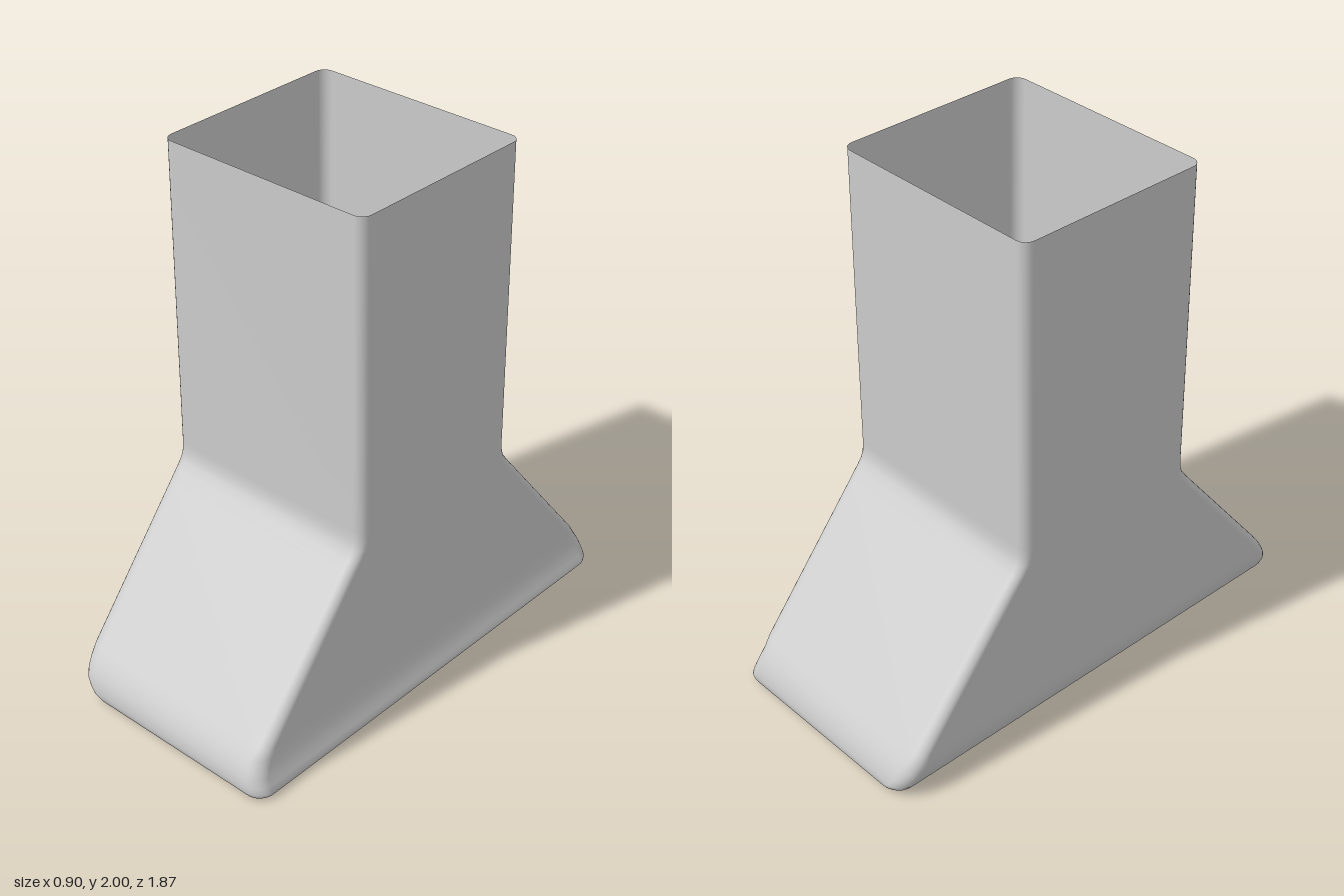
import * as THREE from 'three';

const CORNER_STEPS = 6;

// Rounded rectangle ring at height y, running from +x towards +z
function ring([y, x0, x1, z0, z1, r]) {
  const corners = [[x1 - r, z1 - r], [x0 + r, z1 - r], [x0 + r, z0 + r], [x1 - r, z0 + r]];
  const points = [];
  corners.forEach(([cx, cz], c) => {
    for (let i = 0; i <= CORNER_STEPS; i++) {
      const a = (c + i / CORNER_STEPS) * Math.PI / 2;
      points.push([cx + r * Math.cos(a), y, cz + r * Math.sin(a)]);
    }
  });
  return points;
}

// Skin joining a stack of rings, smooth shaded
function loft(name, rows) {
  const rings = rows.map(ring);
  const n = rings[0].length;
  const index = [];
  for (let i = 0; i < rings.length - 1; i++) {
    for (let j = 0; j < n; j++) {
      const k = (j + 1) % n;
      const a = i * n + j, b = i * n + k, c = a + n, d = b + n;
      index.push(a, b, c, b, d, c);
    }
  }
  const geometry = new THREE.BufferGeometry();
  geometry.setAttribute('position', new THREE.Float32BufferAttribute(rings.flat(2), 3));
  geometry.setIndex(index);
  geometry.computeVertexNormals();
  const material = new THREE.MeshStandardMaterial({ color: 0xcccccc, side: THREE.DoubleSide });
  const mesh = new THREE.Mesh(geometry, material);
  mesh.name = name;
  return mesh;
}

export function createModel() {
  const group = new THREE.Group();
  group.name = 'extractorHood';

  // Duct, sloping hood and rounded lower lip: [y, x0, x1, z0, z1, radius]
  group.add(loft('ductAndHood', [
    [2.00, -0.455, 0.42, -0.385, 0.395, 0.04],
    [0.82, -0.455, 0.42, -0.385, 0.395, 0.04],
    [0.78, -0.455, 0.42, -0.388, 0.398, 0.04],
    [0.75, -0.455, 0.42, -0.398, 0.408, 0.04],
    [0.72, -0.455, 0.42, -0.42, 0.43, 0.04],
    [0.68, -0.455, 0.42, -0.452, 0.462, 0.04],
    [0.18, -0.455, 0.42, -0.865, 0.875, 0.05],
    [0.14, -0.455, 0.42, -0.895, 0.905, 0.06],
    [0.11, -0.451, 0.425, -0.913, 0.923, 0.06],
    [0.08, -0.443, 0.432, -0.926, 0.936, 0.06],
    [0.05, -0.428, 0.442, -0.933, 0.94, 0.06],
    [0.03, -0.412, 0.45, -0.934, 0.94, 0.06],
    [0.015, -0.393, 0.45, -0.929, 0.935, 0.06],
    [0.005, -0.375, 0.44, -0.918, 0.922, 0.06],
    [0.00, -0.355, 0.42, -0.90, 0.905, 0.06],
  ]));

  // Flat rim around the intake
  const x0 = -0.23, x1 = 0.20, z0 = -0.82, z1 = 0.87;
  group.add(loft('undersideRim', [
    [0, -0.355, 0.42, -0.90, 0.905, 0.06],
    [0, x0, x1, z0, z1, 0.004],
  ]));

  // Vaulted intake recess, closed above
  const mid = (x0 + x1) / 2, half = (x1 - x0) / 2, depth = 0.15;
  const vault = [];
  for (let i = 0; i <= 12; i++) {
    const a = (i / 12) * Math.PI / 2;
    const w = half * Math.cos(a);
    vault.push([depth * Math.sin(a), mid - w, mid + w, z0, z1, Math.min(0.004, w)]);
  }
  group.add(loft('intakeRecess', vault));

  return group;
}
